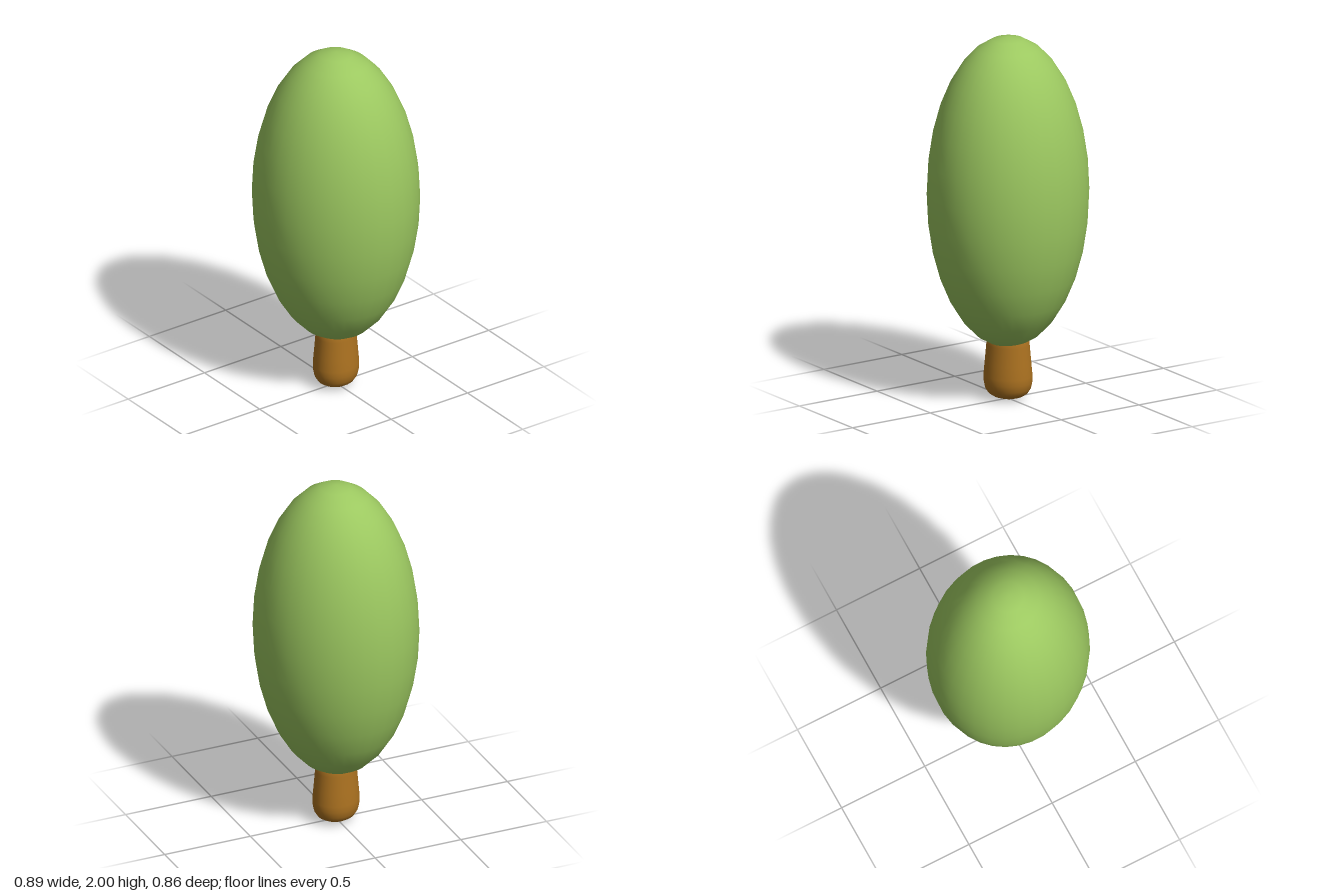
import * as THREE from 'three';

export function createModel() {
  const tree = new THREE.Group();
  tree.name = 'tree';

  // The whole tree is turned a little about its upright axis
  tree.rotation.y = THREE.MathUtils.degToRad(28);

  // Crown: a tall, smooth ellipsoid
  const crown = new THREE.Mesh(
    new THREE.SphereGeometry(1, 32, 16).scale(0.452, 0.855, 0.428),
    new THREE.MeshStandardMaterial({ color: 0x9cc860 })
  );
  crown.name = 'crown';
  crown.position.y = 1.145;
  tree.add(crown);

  // Trunk: tapered, with a rounded foot, its top hidden inside the crown
  const profile = [
    [0, 0], [0.04, 0.005], [0.072, 0.016], [0.097, 0.033], [0.113, 0.06],
    [0.12, 0.095], [0.121, 0.13], [0.115, 0.2], [0.107, 0.3], [0.1, 0.4], [0, 0.42],
  ].map(([r, y]) => new THREE.Vector2(r, y));
  const trunk = new THREE.Mesh(
    new THREE.LatheGeometry(profile, 32).scale(1, 1, 1.1),
    new THREE.MeshStandardMaterial({ color: 0xac7220 })
  );
  trunk.name = 'trunk';
  tree.add(trunk);

  const model = new THREE.Group();
  model.name = 'model';
  model.add(tree);
  return model;
}
